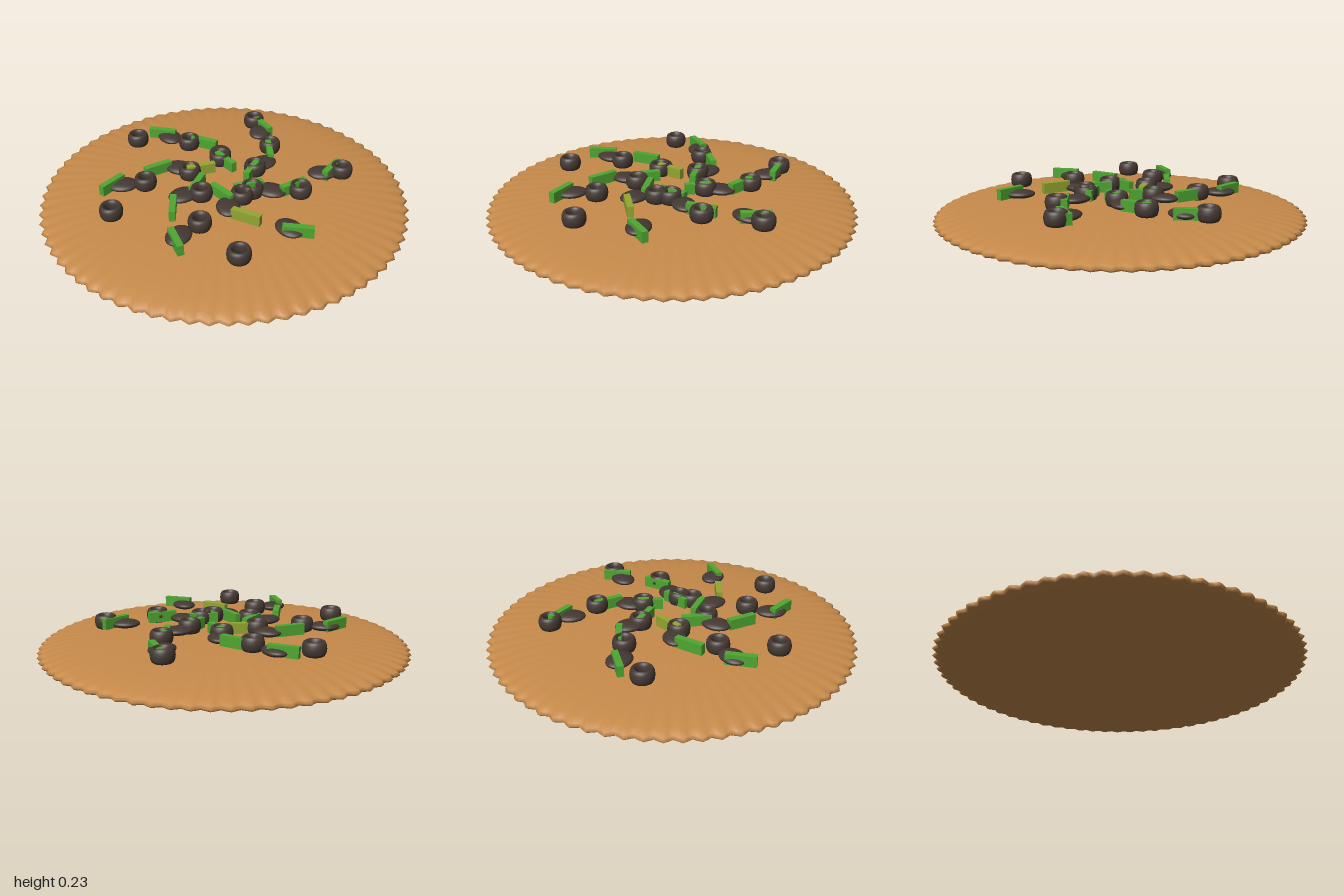
import * as THREE from 'three';
import { mergeVertices } from 'three/addons/utils/BufferGeometryUtils.js';

const mat = (name, color) => {
  const m = new THREE.MeshStandardMaterial({ color });
  m.name = name;
  return m;
};

// Lens-shaped crust with a finely ruffled edge
function crustGeometry() {
  const ruffles = 72;
  const geo = new THREE.SphereGeometry(0.988, ruffles * 4, 20);
  const p = geo.attributes.position;
  for (let i = 0; i < p.count; i++) {
    const x = p.getX(i), z = p.getZ(i);
    const k = 1 + 0.012 * Math.cos(ruffles * Math.atan2(z, x));
    p.setXYZ(i, x * k, p.getY(i) * 0.081, z * k);
  }
  geo.deleteAttribute('uv');
  geo.deleteAttribute('normal');
  const welded = mergeVertices(geo, 1e-5);
  welded.computeVertexNormals();
  return welded;
}

// Centres of the toppings as [x, z]
const RINGS = [
  [-0.25, -0.605], [0, -0.425], [0.46, -0.46], [-0.39, -0.16],
  [-0.14, -0.14], [0.075, -0.18], [0.39, -0.16], [-0.65, 0],
  [-0.18, 0.075], [0.19, 0], [0.18, 0.075], [0, 0.19],
  [-0.3, 0.3], [0.16, 0.39], [0.46, 0.46], [-0.25, 0.6],
];
const CHUNKS = [
  [-0.145, -0.53], [0.07, -0.26], [0.385, -0.385], [-0.53, -0.145],
  [-0.18, -0.19], [0.265, -0.07], [0.525, 0.14], [-0.26, 0.07],
  [0.18, 0.19], [-0.07, 0.255], [-0.385, 0.385], [0.14, 0.525],
];
// Ends of the strips as [x1, z1, x2, z2]
const GREEN_STRIPS = [
  [-0.24, -0.61, -0.085, -0.55], [-0.02, -0.43, 0.09, -0.31],
  [0.41, -0.5, 0.42, -0.355], [-0.65, -0.105, -0.51, -0.175],
  [-0.395, -0.19, -0.235, -0.23], [-0.17, -0.145, -0.015, -0.11],
  [0.06, -0.23, 0.095, -0.07], [0.32, -0.085, 0.37, -0.235],
  [0.12, 0.055, 0.2, -0.075], [-0.365, 0.235, -0.31, 0.09],
  [-0.09, 0.07, -0.04, 0.225], [0.01, 0.115, 0.17, 0.14],
  [0.51, 0.18, 0.645, 0.1], [-0.075, 0.325, 0.02, 0.44],
  [-0.42, 0.355, -0.42, 0.505], [0.095, 0.535, 0.235, 0.615],
];
const YELLOW_STRIPS = [[-0.19, 0.075, -0.11, -0.045], [0.23, 0.225, 0.39, 0.19]];

export function createModel() {
  const model = new THREE.Group();
  const crustMat = mat('baked crust', 0xc68a4a);
  const oliveMat = mat('dark olive', 0x443833);
  const greenMat = mat('green pepper', 0x4fa632);
  const yellowMat = mat('yellow green pepper', 0x93a632);

  const add = (name, geo, material, x, y, z, turn = 0) => {
    const mesh = new THREE.Mesh(geo, material);
    mesh.name = name;
    mesh.position.set(x, y, z);
    mesh.rotation.y = turn;
    model.add(mesh);
  };

  add('crust', crustGeometry(), crustMat, 0, 0.083, 0);

  // Tall rings with a hole through the middle
  const ringGeo = new THREE.TorusGeometry(0.0445, 0.0165, 12, 28);
  ringGeo.rotateX(Math.PI / 2).scale(1, 2.3, 1);
  RINGS.forEach(([x, z]) => add('oliveRing', ringGeo, oliveMat, x, 0.198, z));

  // Flattened chunks, each pointing away from the centre
  const chunkGeo = new THREE.SphereGeometry(1, 24, 14);
  chunkGeo.scale(0.082, 0.024, 0.063);
  CHUNKS.forEach(([x, z]) => add('oliveChunk', chunkGeo, oliveMat, x, 0.186, z, Math.atan2(-z, x)));

  // Pepper strips standing on edge
  const stripGeo = new THREE.BoxGeometry(0.158, 0.058, 0.034);
  const addStrips = (name, list, material) => list.forEach(([x1, z1, x2, z2]) =>
    add(name, stripGeo, material, (x1 + x2) / 2, 0.196, (z1 + z2) / 2, Math.atan2(z1 - z2, x2 - x1)));
  addStrips('greenPepperStrip', GREEN_STRIPS, greenMat);
  addStrips('yellowPepperStrip', YELLOW_STRIPS, yellowMat);

  return model;
}
